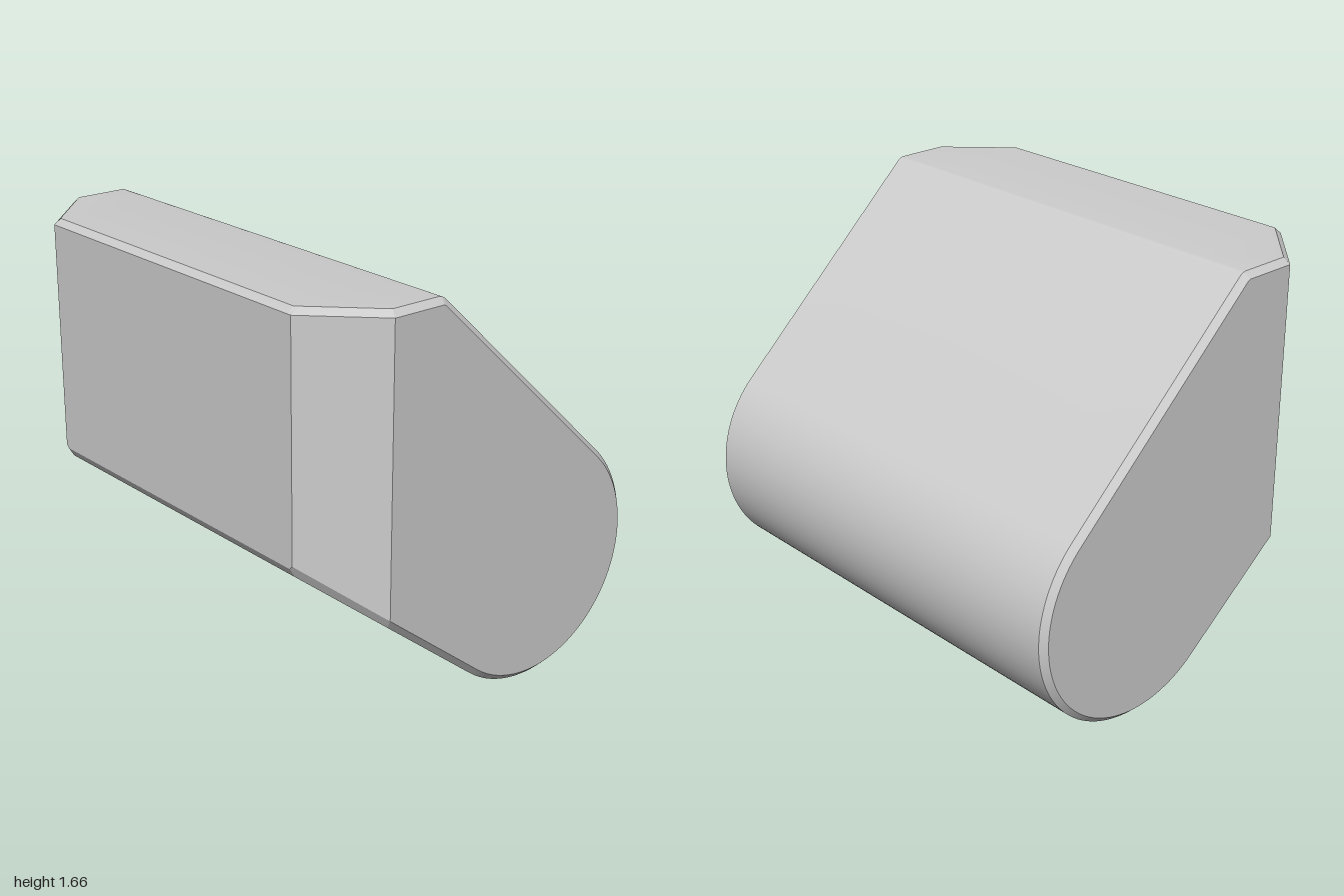
import * as THREE from 'three';
import { toCreasedNormals } from 'three/addons/utils/BufferGeometryUtils.js';

const TOP = 1.665, BEVEL = 0.025, R = 0.5, CY = 0.5, CZ = -0.25;
const BACK = Math.atan2(0.728, -0.685);             // direction the sloped back faces
const UNDER = Math.atan2(-0.78, 0.625) + 2 * Math.PI; // direction the sloped underside faces
const underside = z => 0.46 + 0.8 * (z - 0.5);

// Small rounding where the back slope meets the top
const FR = 0.05, FY = TOP - FR;
const FZ = CZ + (R - FR - Math.sin(BACK) * (FY - CY)) / Math.cos(BACK);

function arc(out, x, cz, cy, r, from, to, n) {
  for (let i = 0; i <= n; i++) {
    const a = from + (to - from) * i / n;
    out.push([x, cy + r * Math.sin(a), cz + r * Math.cos(a)]);
  }
}

// Side profile at one x: round heel, underside, front wall, top, rounded top edge
function section(x, { inset = 0, wallZ, wallY, capZ }) {
  const ring = [];
  arc(ring, x, CZ, CY, R - inset, BACK, UNDER, 56);
  ring.push([x, inset ? wallY : underside(capZ), capZ]);
  ring.push([x, wallY, wallZ], [x, TOP - BEVEL, wallZ]);
  ring.push([x, TOP - inset, capZ]);
  arc(ring, x, FZ, FY, FR - inset, Math.PI / 2, BACK, 6);
  return ring;
}

function bodyGeometry() {
  // Sections from the side face inwards, past the angled front corner
  const half = [
    [1, { inset: BEVEL, wallZ: 0.5, wallY: 0.492, capZ: 0.5 }],
    [0.975, { wallZ: 0.525, wallY: 0.512, capZ: 0.49 }],
    [0.75, { wallZ: 0.75, wallY: 0.695, capZ: 0.715 }],
    [0.735, { wallZ: 0.75, wallY: 0.68, capZ: 0.727 }],
  ];
  const mirrored = half.map(([x, s]) => [-x, s]).reverse();
  const rings = [...half, ...mirrored].map(([x, s]) => section(x, s));
  const n = rings[0].length, pos = [];
  const tri = (...pts) => pts.forEach(p => pos.push(...p));

  // Skin between neighbouring sections
  for (let k = 0; k < rings.length - 1; k++) {
    const a = rings[k], b = rings[k + 1];
    for (let i = 0; i < n; i++) {
      const j = (i + 1) % n;
      tri(a[i], a[j], b[i]);
      tri(a[j], b[j], b[i]);
    }
  }
  // Flat side faces
  const left = rings[0], right = rings[rings.length - 1];
  for (let i = 0; i < n; i++) {
    const j = (i + 1) % n;
    tri([1, 0.8, 0.1], left[j], left[i]);
    tri([-1, 0.8, 0.1], right[i], right[j]);
  }
  const geo = new THREE.BufferGeometry();
  geo.setAttribute('position', new THREE.Float32BufferAttribute(pos, 3));
  return toCreasedNormals(geo, 0.25);
}

export function createModel() {
  const group = new THREE.Group();
  group.name = 'wedgeBlock';
  const body = new THREE.Mesh(bodyGeometry(), new THREE.MeshStandardMaterial({ color: 0xcccccc }));
  body.name = 'body';
  group.add(body);
  return group;
}
